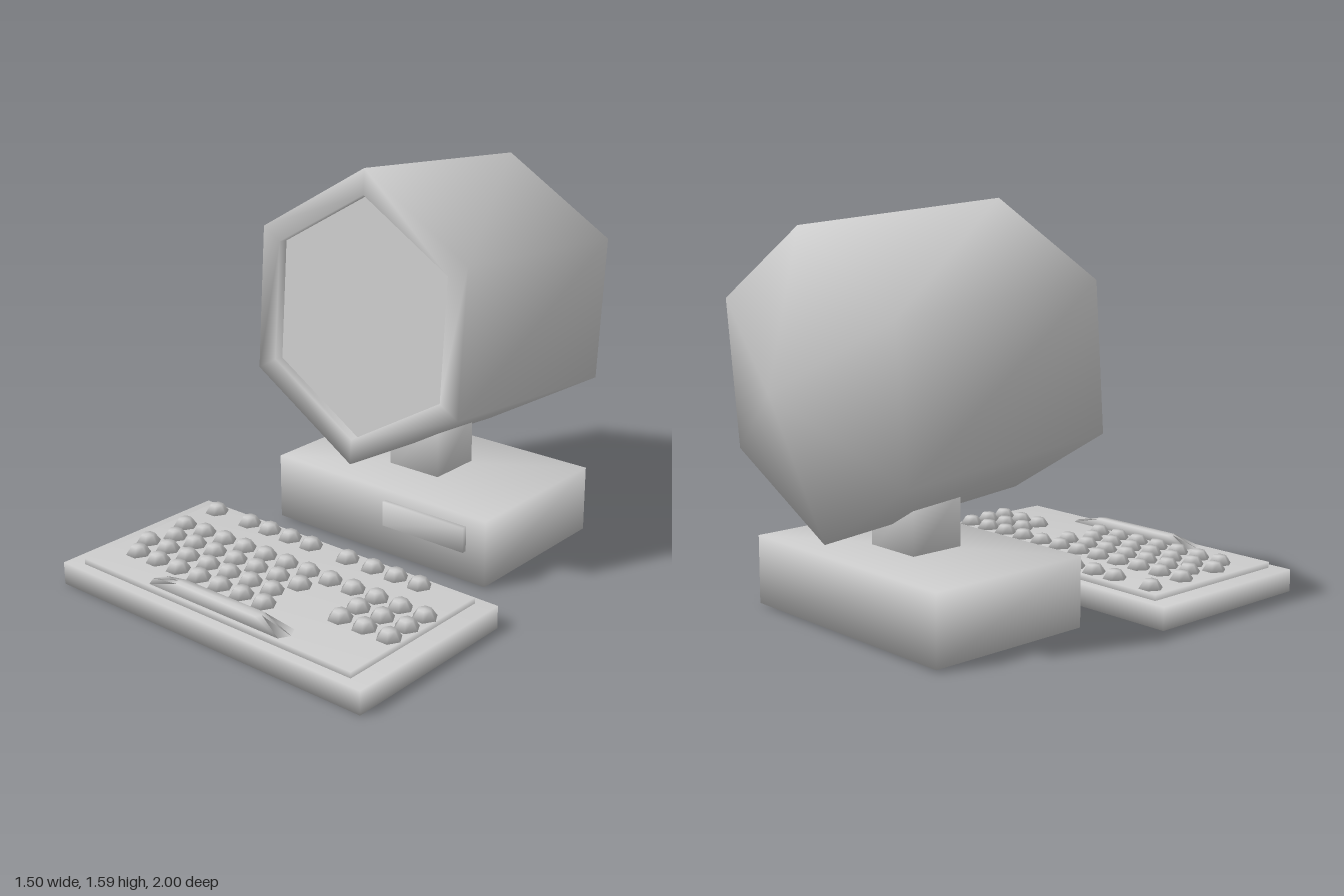
import * as THREE from 'three';
import { mergeVertices } from 'three/addons/utils/BufferGeometryUtils.js';

const material = new THREE.MeshStandardMaterial({ color: 0xcccccc });

// Share the corners so the shading runs softly over every edge
function soften(geometry) {
  geometry.deleteAttribute('uv');
  geometry.deleteAttribute('normal');
  const merged = mergeVertices(geometry, 1e-4);
  merged.computeVertexNormals();
  return merged;
}

function addMesh(parent, name, geometry) {
  const mesh = new THREE.Mesh(geometry, material);
  mesh.name = name;
  parent.add(mesh);
  return mesh;
}

// Box given by its lower and upper limits on each axis
function addBox(parent, name, [x0, x1], [y0, y1], [z0, z1]) {
  const mesh = addMesh(parent, name, soften(new THREE.BoxGeometry(x1 - x0, y1 - y0, z1 - z0)));
  mesh.position.set((x0 + x1) / 2, (y0 + y1) / 2, (z0 + z1) / 2);
}

// Six-sided tapered key with points towards +x and -x
function keyGeometry() {
  return new THREE.CylinderGeometry(0.027, 0.05, 0.034, 6, 1, false, Math.PI / 2);
}

function buildMonitor() {
  const monitor = new THREE.Group();
  monitor.name = 'monitor';

  // Hexagonal shell: pointed back, long sides, front bezel and screen recess
  const profile = [[0, -1.131], [0.577, -0.949], [0.577, 0], [0.477, 0], [0.477, -0.04]];
  const shell = new THREE.LatheGeometry(profile.map(([r, z]) => new THREE.Vector2(r, z)), 6);
  shell.rotateX(Math.PI / 2);
  const p = shell.attributes.position;
  for (let i = 0; i < p.count; i++) {
    if (p.getZ(i) < -1.05) p.setY(i, p.getY(i) + 0.014);
  }
  addMesh(monitor, 'monitorShell', soften(shell));

  const screen = addMesh(monitor, 'screen', new THREE.CircleGeometry(0.477, 6, Math.PI / 2));
  screen.position.z = -0.04;

  monitor.position.set(0, 1.01, 0.1285);
  monitor.rotation.x = -0.0795;
  return monitor;
}

function buildBase() {
  const base = new THREE.Group();
  base.name = 'base';
  addBox(base, 'baseCase', [-0.533, 0.531], [0.01, 0.284], [-0.7, 0.005]);
  addBox(base, 'driveSlot', [0.04, 0.44], [0.135, 0.238], [-0.02, 0.025]);
  addBox(base, 'neck', [-0.125, 0.122], [0.26, 0.5], [-0.46, -0.228]);
  return base;
}

function buildKeyboard() {
  const keyboard = new THREE.Group();
  keyboard.name = 'keyboard';
  addBox(keyboard, 'keyboardCase', [-0.75, 0.75], [0, 0.091], [0.225, 1]);
  addBox(keyboard, 'keyPlate', [-0.674, 0.674], [0.07, 0.115], [0.263, 0.958]);

  // Key runs: z, x of the first key, number of keys
  const pitch = 0.1115;
  const runs = [
    [0.32, -0.6, 1], [0.32, -0.413, 4], [0.32, 0.11, 1], [0.32, 0.237, 3],
    [0.5, -0.6, 12],
    [0.6, -0.551, 7], [0.6, 0.402, 3],
    [0.697, -0.6, 7], [0.697, 0.402, 3],
    [0.793, -0.551, 7],
  ];
  const geometry = soften(keyGeometry());
  for (const [z, x, count] of runs) {
    for (let i = 0; i < count; i++) {
      addMesh(keyboard, 'key', geometry).position.set(x + i * pitch, 0.131, z);
    }
  }

  // Space bar: a key pulled apart lengthwise, with a shorter top
  const bar = keyGeometry();
  const p = bar.attributes.position;
  for (let i = 0; i < p.count; i++) {
    const x = p.getX(i);
    if (Math.abs(x) > 0.001) {
      p.setX(i, x + Math.sign(x) * (p.getY(i) > 0 ? 0.185 : 0.305));
    }
  }
  addMesh(keyboard, 'spaceBar', soften(bar)).position.set(0.005, 0.131, 0.903);
  return keyboard;
}

export function createModel() {
  const model = new THREE.Group();
  model.name = 'desktopComputer';
  model.add(buildMonitor(), buildBase(), buildKeyboard());
  return model;
}
